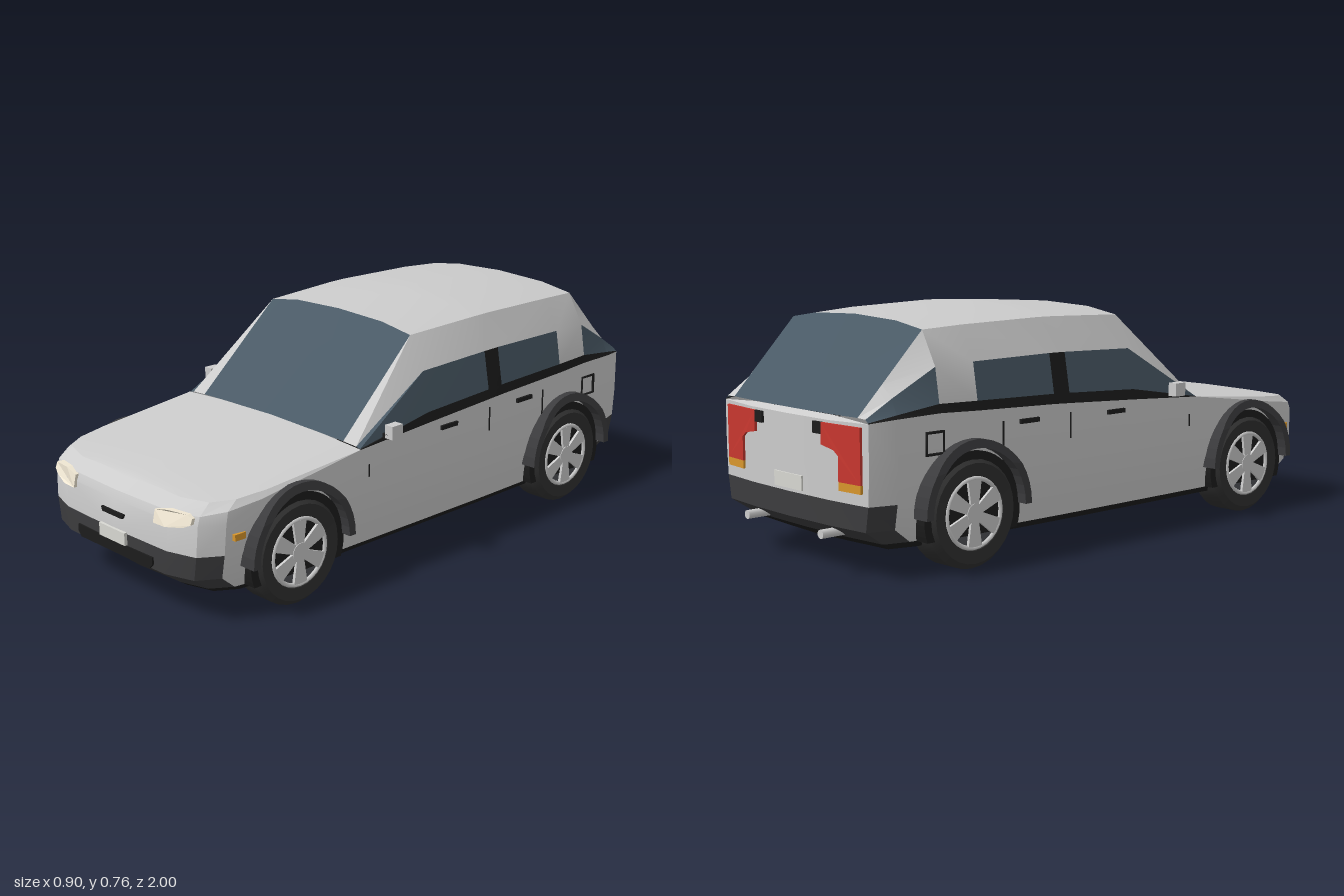
import * as THREE from 'three';
import { toCreasedNormals } from 'three/addons/utils/BufferGeometryUtils.js';

const GREY = 0xcccccc, GLASS = 0x4a5a66, BLACK = 0x1c1c1c, DARK = 0x3c3c3e, RED = 0xc8372f, AMBER = 0xd8962c;
const mats = {};
const mat = (color) => (mats[color] ??= new THREE.MeshStandardMaterial({ color, side: THREE.DoubleSide, flatShading: false }));
const lerp = THREE.MathUtils.lerp;

// Half plan outline [x, z] from front centre to rear centre
const O = [[0, .995], [.25, .988], [.35, .958], [.395, .89], [.412, .78], [.413, .37], [.414, .07], [.414, -.215],
  [.413, -.28], [.408, -.585], [.402, -.725], [.39, -.87], [.365, -.955], [.2, -.97], [0, -.975]];
// Belt height for outline points 5..12
const BELT = [.425, .443, .458, .461, .47, .475, .47, .462];
// Greenhouse stations: knee x, y, shoulder x, y, roof y at x = 0.2, roof y at centre
const CABIN = [[.392, .43, .335, .433, .437, .438], [.383, .605, .325, .71, .73, .737], [.386, .614, .337, .721, .746, .756],
  [.386, .615, .337, .722, .747, .757], [.384, .612, .333, .717, .739, .748], [.38, .607, .322, .71, .729, .737],
  [.362, .526, .318, .562, .567, .57], [.352, .474, .315, .475, .473, .472]];
const hoodY = (z) => .375 + (.93 - z) / .56 * .045;

export function createModel() {
  const car = new THREE.Group();
  car.name = 'car';

  const add = (name, geo, color, parent = car) => {
    const m = new THREE.Mesh(geo, mat(color));
    m.name = name;
    parent.add(m);
    return m;
  };

  // Mirrored skin over rows of points (rows go up, columns go rearward); keeps the cells that pass the test
  function skin(name, rows, color, test = () => true) {
    const out = [];
    const tri = (...p) => {
      for (const [x, y, z] of p) out.push(x, y, z);
      for (const [x, y, z] of p.reverse()) out.push(-x, y, z);
    };
    for (let i = 0; i < rows.length - 1; i++) for (let j = 0; j < rows[i].length - 1; j++) {
      if (!test(i, j)) continue;
      const a = rows[i][j], b = rows[i][j + 1], c = rows[i + 1][j + 1], d = rows[i + 1][j];
      tri(a, b, c);
      tri(a, c, d);
    }
    const g = new THREE.BufferGeometry();
    g.setAttribute('position', new THREE.Float32BufferAttribute(out, 3));
    return add(name, toCreasedNormals(g, .35), color);
  }

  // Lower body: height, width scale, front scale, rear scale
  const body = [[.085, .89, .91, .9], [.105, .925, .94, .93], [.15, .95, 1, 1], [.225, .985, 1, 1], [.32, 1, .995, 1]]
    .map(([y, sx, zf, zr]) => O.map(([x, z]) => [x * sx, y, z * (z > .5 ? zf : z < -.8 ? zr : 1)]));
  const hoodEdge = O.map(([x, z], j) => {
    if (j < 5) return [x * .97, hoodY(z * .94), z * .94];
    if (j < 13) return [x, BELT[j - 5], z];
    return [x, .472, -.955];
  });
  const shoulder = O.map(([x, z], j) => {
    if (j < 5) return [x * .995, hoodY(z * .94) - [.03, .03, .03, .025, .02][j], z * .985];
    if (j < 13) return hoodEdge[j];
    return [x, .458, z];
  });
  body.push(shoulder, hoodEdge);
  const bumper = (i, j) => i > 0 && i < 3 && (j < 3 || j > 10);
  skin('bodyShell', body, GREY, (i, j) => i > 0 && !bumper(i, j));
  skin('bumpers', body, DARK, bumper);
  skin('sills', body, BLACK, (i) => i === 0);
  skin('underside', [body[0].map(([, , z]) => [0, .08, z]), body[0]], BLACK);

  // Hood with a slight crown
  const hoodFront = hoodEdge.slice(0, 6);
  skin('hood', [1, .6, 0].map((k) => hoodFront.map(([x, y, z], j) => [x * k, y + .016 * (1 - k * k) * j / 5, z])), GREY);

  // Greenhouse rows: belt, trim, knee, shoulder, roof, centre line
  const cabin = [[], [], [], [], [], []];
  CABIN.forEach(([kx, ky, sx, sy, my, cy], n) => {
    const [bx, by, z] = hoodEdge[n + 5];
    cabin[0].push([bx, by, z]);
    cabin[1].push([lerp(bx, kx, .2), lerp(by, ky, .2), z]);
    cabin[2].push([kx, ky, z]);
    cabin[3].push([sx, sy, z]);
    cabin[4].push([.2, my, z]);
    cabin[5].push([0, cy, z]);
  });
  skin('windscreen', cabin, GLASS, (i, j) => i > 2 && j === 0);
  skin('rearWindow', cabin, GLASS, (i, j) => i > 2 && j > 4);
  skin('sideWindows', cabin, GLASS, (i, j) => i === 1 && j !== 2 && j !== 4);
  skin('doorPillars', cabin, BLACK, (i, j) => i === 1 && j === 2);
  skin('beltTrim', cabin, BLACK, (i) => i === 0);
  skin('roofAndPillars', cabin, GREY, (i, j) => i === 2 || (i === 1 && j === 4) || (i > 2 && j > 0 && j < 5));

  // Plates that follow the curve of the nose or tail
  const faceZ = (x, y, front) => {
    const pts = front ? O.slice(0, 4) : O.slice(11).reverse();
    let k = 0;
    while (k < pts.length - 2 && Math.abs(x) > pts[k + 1][0]) k++;
    const [[x0, z0], [x1, z1]] = [pts[k], pts[k + 1]];
    return lerp(z0, z1, (Math.abs(x) - x0) / (x1 - x0)) - (front ? Math.max(0, y - .32) * .4 : 0);
  };
  function plate(name, pts, color, front, lift = .006, side = 1) {
    const shape = new THREE.Shape(pts.map(([x, y]) => new THREE.Vector2(x * side, y)));
    const geo = new THREE.ExtrudeGeometry(shape, { depth: .014 + lift, bevelEnabled: false });
    const p = geo.attributes.position;
    for (let i = 0; i < p.count; i++) {
      p.setZ(i, p.getZ(i) + faceZ(p.getX(i), p.getY(i), front) - (front ? .014 : lift));
    }
    geo.computeVertexNormals();
    return add(name, geo, color);
  }
  const rect = (x0, x1, y0, y1) => [[x0, y0], [x1, y0], [x1, y1], [x0, y1]];
  plate('grilleSlot', [[-.048, .27], [.048, .27], [.055, .284], [-.055, .284]], BLACK, true);
  plate('lowerIntake', [[-.17, .15], [.17, .15], [.185, .165], [.185, .188], [-.185, .188], [-.185, .165]], BLACK, true);
  plate('frontNumberPlate', rect(-.063, .063, .19, .23), 0xd8d8d2, true, .01);
  plate('rearNumberPlate', rect(-.07, .07, .235, .28), 0xd8d8d2, false);

  for (const s of [1, -1]) {
    const side = s > 0 ? 'left' : 'right';
    plate(side + 'Headlight', [[.197, .342], [.197, .302], [.25, .303], [.31, .312], [.335, .324], [.335, .342], [.315, .35], [.25, .352]],
      0xefe6d2, true, .007, s);
    plate(side + 'TailLight', [[.245, .285], [.338, .285], [.338, .45], [.17, .45], [.17, .385], [.225, .375], [.245, .36]], RED, false, .008, s);
    plate(side + 'RearIndicator', rect(.245, .338, .26, .285), AMBER, false, .008, s);
    plate(side + 'TailLightCap', rect(.13, .17, .415, .45), BLACK, false, .008, s);

    const box = (name, w, h, d, x, y, z, color) =>
      add(side + name, new THREE.BoxGeometry(w, h, d), color).position.set(x * s, y, z);
    // Mirror on a short arm
    box('Mirror', .032, .043, .045, .434, .462, .25, GREY);
    box('MirrorArm', .04, .015, .025, .412, .446, .26, BLACK);
    // Door handles, seams, marker
    box('FrontHandle', .016, .014, .075, .414, .414, -.018, BLACK);
    box('RearHandle', .016, .014, .075, .412, .422, -.388, BLACK);
    box('FenderSeam', .006, .04, .005, .412, .35, .335, BLACK);
    box('DoorSeam', .006, .08, .005, .413, .39, -.215, BLACK);
    box('RearDoorSeam', .006, .13, .005, .409, .365, -.49, BLACK);
    box('SideMarker', .012, .02, .04, .402, .277, .845, AMBER);

    // Exhaust tip
    const pipe = add(side + 'Exhaust', new THREE.CylinderGeometry(.014, .014, .12, 10), GREY);
    pipe.rotation.x = Math.PI / 2;
    pipe.position.set(.19 * s, .128, -.94);
  }

  // Fuel flap outline on the right rear flank
  const flap = add('fuelFlap', new THREE.TorusGeometry(.045, .006, 4, 4), BLACK);
  flap.geometry.rotateZ(Math.PI / 4).rotateY(Math.PI / 2);
  flap.position.set(-.402, .39, -.745);
  const flapLeft = flap.clone();
  flapLeft.position.x = .402;
  car.add(flapLeft);

  // Wheels, wells and flared arches
  const tyreGeo = new THREE.LatheGeometry([[.1, -.06], [.148, -.06], [.168, -.04], [.168, .042], [.15, .062], [.112, .058], [.106, .045]]
    .map(([r, h]) => new THREE.Vector2(r, h)), 28).rotateZ(-Math.PI / 2);
  const tyre = toCreasedNormals(tyreGeo, .5);
  const spokeShape = new THREE.Shape([[-.014, .02], [.014, .02], [.026, .1], [-.026, .1]].map((p) => new THREE.Vector2(...p)));
  const spoke = new THREE.ExtrudeGeometry(spokeShape, { depth: .012, bevelEnabled: false }).rotateY(Math.PI / 2);
  const well = new THREE.Shape();
  const dip = Math.asin(.065 / .185);
  well.absarc(0, 0, .185, -dip, Math.PI + dip, false);
  const arch = new THREE.Shape();
  arch.absarc(0, 0, .203, 0, Math.PI, false);
  arch.absarc(0, 0, .178, Math.PI, 0, true);
  const archGeo = new THREE.ExtrudeGeometry(arch, { depth: .06, bevelEnabled: false, curveSegments: 10 }).rotateY(Math.PI / 2);
  const ap = archGeo.attributes.position;
  for (let i = 0; i < ap.count; i++) {
    // the outer lip leans in towards the crown of the arch
    if (ap.getX(i) > .03) ap.setX(i, .06 - .018 * Math.max(0, ap.getY(i) - .12) / .08);
    ap.setY(i, ap.getY(i) * 1.05);
  }
  archGeo.computeVertexNormals();

  for (const [end, z] of [['front', .63], ['rear', -.614]]) for (const s of [1, -1]) {
    const corner = new THREE.Group();
    corner.name = end + (s > 0 ? 'Left' : 'Right') + 'Wheel';
    corner.position.set(0, .17, z);
    corner.rotation.y = s > 0 ? 0 : Math.PI;
    car.add(corner);
    add('wheelWell', new THREE.ExtrudeGeometry(well, { depth: .115, bevelEnabled: false, curveSegments: 20 }).rotateY(Math.PI / 2),
      BLACK, corner).position.x = .3;
    add('wheelArch', archGeo, DARK, corner).position.set(.39, .008, 0);
    const wheel = new THREE.Group();
    wheel.name = 'wheel';
    wheel.position.x = .364;
    corner.add(wheel);
    add('tyre', tyre, 0x303030, wheel);
    const disc = (name, r, w, x, color) =>
      add(name, new THREE.CylinderGeometry(r, r, w, 24).rotateZ(-Math.PI / 2), color, wheel).position.x = x;
    disc('rimBack', .108, .1, 0, 0x505256);
    disc('hub', .03, .012, .056, GREY);
    for (let k = 0; k < 6; k++) add('spoke', spoke, GREY, wheel).position.x = .048;
    wheel.children.filter((c) => c.name === 'spoke').forEach((c, k) => { c.rotation.x = k * Math.PI / 3; });
    add('rimLip', new THREE.TorusGeometry(.104, .007, 6, 28).rotateY(Math.PI / 2), GREY, wheel).position.x = .054;
  }
  return car;
}
